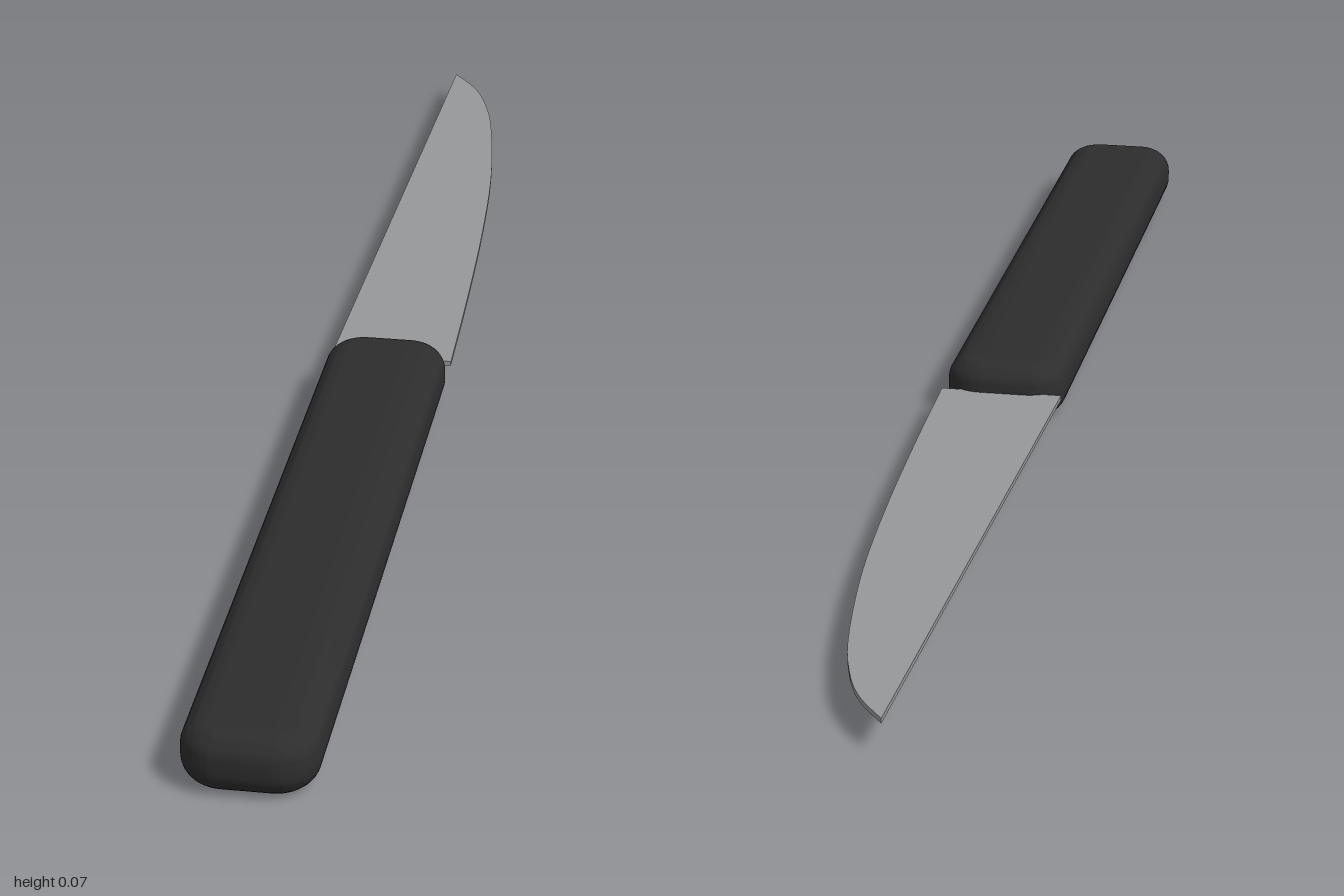
import * as THREE from 'three';
import { toCreasedNormals } from 'three/addons/utils/BufferGeometryUtils.js';

const black = new THREE.MeshStandardMaterial({ color: 0x2d2d2d });
black.name = 'black handle';
const steel = new THREE.MeshStandardMaterial({ color: 0x97989a });
steel.name = 'grey steel';

// Rounded rectangle in plan; shape y becomes -z once laid flat
function roundedRect(x0, x1, y0, y1, r) {
  const s = new THREE.Shape();
  s.absarc(x1 - r, y0 + r, r, -Math.PI / 2, 0);
  s.absarc(x1 - r, y1 - r, r, 0, Math.PI / 2);
  s.absarc(x0 + r, y1 - r, r, Math.PI / 2, Math.PI);
  s.absarc(x0 + r, y0 + r, r, Math.PI, Math.PI * 1.5);
  return s;
}

export function createModel() {
  const model = new THREE.Group();
  model.name = 'knife';

  // Handle: plan outline with fully rounded long edges
  const b = 0.031;
  const handleGeo = new THREE.ExtrudeGeometry(
    roundedRect(-0.079 + b, 0.075 - b, -1 + b, 0.022 - b, 0.018),
    { depth: 0.074 - 2 * b, bevelEnabled: true, bevelThickness: b, bevelSize: b, bevelSegments: 8, curveSegments: 8 }
  );
  handleGeo.rotateX(-Math.PI / 2).translate(0, b, 0);
  const handle = new THREE.Mesh(toCreasedNormals(handleGeo, 0.6), black);
  handle.name = 'handle';

  // Blade: straight spine and an edge curving in to the tip
  const outline = new THREE.Shape();
  outline.moveTo(-0.079, 0.015);
  outline.lineTo(0.077, 0.015);
  outline.splineThru([
    [0.072, 0.2], [0.063, 0.42], [0.049, 0.62], [0.025, 0.8],
    [0.004, 0.89], [-0.02, 0.95], [-0.055, 1],
  ].map(([x, y]) => new THREE.Vector2(x, y)));
  outline.closePath();
  const t = 0.006;
  const bladeGeo = new THREE.ExtrudeGeometry(outline, { depth: t, bevelEnabled: false, curveSegments: 5 });
  bladeGeo.rotateX(-Math.PI / 2).translate(0, 0.036 - t / 2, 0);
  const blade = new THREE.Mesh(toCreasedNormals(bladeGeo, 0.5), steel);
  blade.name = 'blade';

  model.add(handle, blade);
  return model;
}
